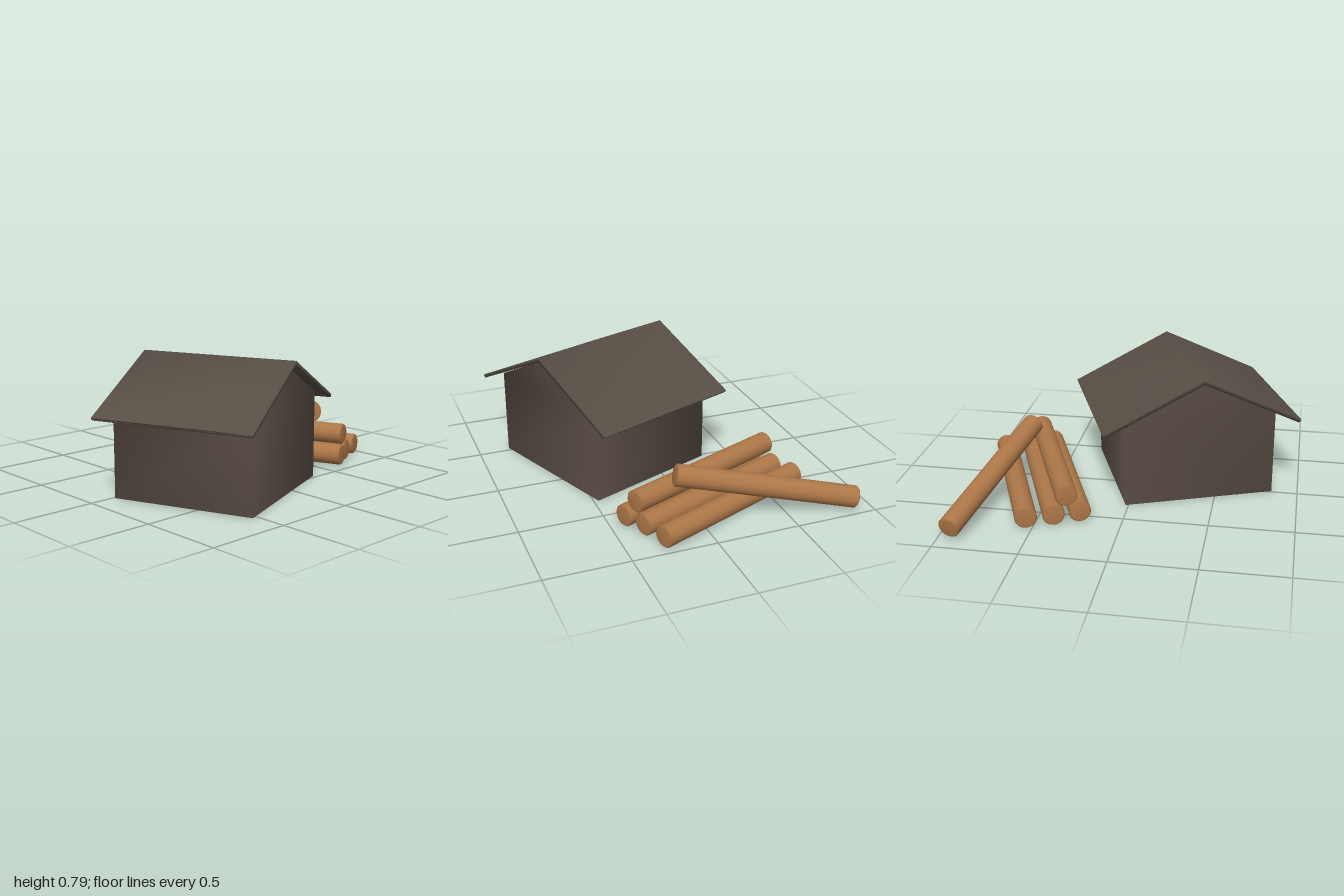
import * as THREE from 'three';
import { mergeVertices } from 'three/addons/utils/BufferGeometryUtils.js';

// Weld all corners so that the shading runs softly over the edges
function soften(geometry) {
  geometry.deleteAttribute('normal');
  geometry.deleteAttribute('uv');
  const welded = mergeVertices(geometry, 1e-4);
  welded.computeVertexNormals();
  return welded;
}

// Gabled walls, open underneath
function wallsGeometry(w, h, peak, d) {
  const profile = [[-w, 0], [w, 0], [w, h], [0, peak], [-w, h]];
  const positions = [];
  for (const z of [d, -d]) for (const [x, y] of profile) positions.push(x, y, z);
  const index = [];
  for (const [a, b, c] of [[0, 1, 2], [0, 2, 4], [2, 3, 4]]) {
    index.push(a, b, c, a + 5, c + 5, b + 5);
  }
  for (const [i, j] of [[1, 2], [4, 0]]) {
    index.push(i, i + 5, j + 5, i, j + 5, j);
  }
  const g = new THREE.BufferGeometry();
  g.setAttribute('position', new THREE.Float32BufferAttribute(positions, 3));
  g.setIndex(index);
  g.computeVertexNormals();
  return g;
}

// Folded roof slab with edges square to the slope
function roofGeometry(length) {
  const shape = new THREE.Shape([
    [0, 0.785], [-0.607, 0.49], [-0.592, 0.473], [0, 0.758],
    [0.592, 0.473], [0.607, 0.49],
  ].map(([x, y]) => new THREE.Vector2(x, y)));
  const g = new THREE.ExtrudeGeometry(shape, { depth: length, bevelEnabled: false });
  g.translate(0, 0, -length / 2);
  return soften(g);
}

// Round log with slightly eased ends, lying between two points
function makeLog(name, from, to, material) {
  const a = new THREE.Vector3(...from);
  const b = new THREE.Vector3(...to);
  const r = 0.065, e = 0.008, half = a.distanceTo(b) / 2;
  const profile = [
    [0, -half], [r - e, -half], [r, -half + e],
    [r, half - e], [r - e, half], [0, half],
  ].map(([x, y]) => new THREE.Vector2(x, y));
  const log = new THREE.Mesh(new THREE.LatheGeometry(profile, 32), material);
  log.name = name;
  log.position.copy(a).add(b).multiplyScalar(0.5);
  log.quaternion.setFromUnitVectors(new THREE.Vector3(0, 1, 0), b.clone().sub(a).normalize());
  return log;
}

export function createModel() {
  const wallMaterial = new THREE.MeshStandardMaterial({ color: 0x5a4d45, side: THREE.DoubleSide });
  wallMaterial.name = 'dark brown walls';
  const roofMaterial = new THREE.MeshStandardMaterial({ color: 0x574e45 });
  roofMaterial.name = 'dark grey brown roof';
  const logMaterial = new THREE.MeshStandardMaterial({ color: 0xad7748 });
  logMaterial.name = 'light wood';

  const model = new THREE.Group();
  model.name = 'hutWithLogs';

  // Hut, turned on the plot
  const hut = new THREE.Group();
  hut.name = 'hut';
  hut.position.set(-0.257, 0, 0.242);
  hut.rotation.y = 0.372;
  const walls = new THREE.Mesh(wallsGeometry(0.461, 0.53, 0.752, 0.427), wallMaterial);
  walls.name = 'walls';
  const ceiling = new THREE.Mesh(new THREE.PlaneGeometry(0.92, 0.852), wallMaterial);
  ceiling.name = 'ceiling';
  ceiling.rotation.x = Math.PI / 2;
  ceiling.position.y = 0.525;
  const roof = new THREE.Mesh(roofGeometry(0.966), roofMaterial);
  roof.name = 'roof';
  hut.add(walls, ceiling, roof);

  // Log pile: three on the ground, one on top, one leaning
  const logs = new THREE.Group();
  logs.name = 'logPile';
  const placements = [
    ['groundLogLeft', [0.24, 0.068, -0.58], [0.65, 0.068, 0.43]],
    ['groundLogMiddle', [0.38, 0.068, -0.65], [0.78, 0.068, 0.36]],
    ['groundLogRight', [0.53, 0.068, -0.71], [0.937, 0.068, 0.30]],
    ['topLog', [0.31, 0.185, -0.62], [0.715, 0.185, 0.385]],
    ['leaningLog', [0.93, 0.07, -0.905], [0.70, 0.30, 0.14]],
  ];
  for (const [name, from, to] of placements) logs.add(makeLog(name, from, to, logMaterial));

  model.add(hut, logs);
  return model;
}
